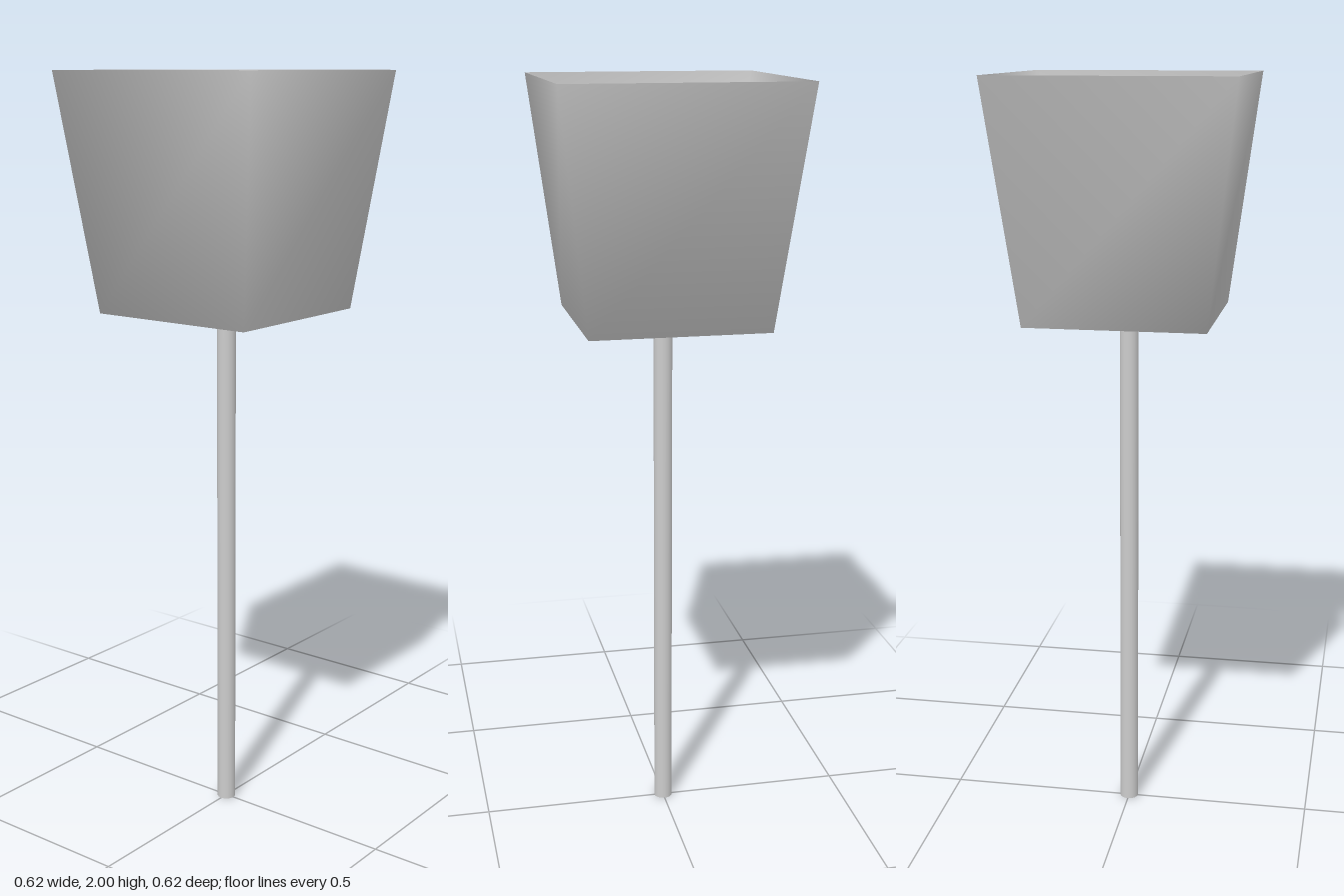
import * as THREE from 'three';
import { mergeVertices } from 'three/addons/utils/BufferGeometryUtils.js';

const POST_TOP = 1.39;
const TOP = 2;

// Open square bin, wider at the rim, with shared corners so the shading runs smoothly across its edges
function taperedBin(bottomHalf, topHalf, y0, y1) {
  const box = new THREE.BoxGeometry(2, 1, 2);
  const index = Array.from(box.index.array);
  index.splice(12, 6); // remove the top face
  box.setIndex(index);
  const p = box.attributes.position;
  for (let i = 0; i < p.count; i++) {
    const upper = p.getY(i) > 0;
    const half = upper ? topHalf : bottomHalf;
    p.setXYZ(i, p.getX(i) * half, upper ? y1 : y0, p.getZ(i) * half);
  }
  box.deleteAttribute('normal');
  box.deleteAttribute('uv');
  box.clearGroups();
  const geometry = mergeVertices(box);
  geometry.computeVertexNormals();
  return geometry;
}

export function createModel() {
  const model = new THREE.Group();
  model.name = 'postLamp';

  const grey = new THREE.MeshStandardMaterial({ color: 0xcccccc, side: THREE.DoubleSide });
  grey.name = 'light grey';

  // Slim round post
  const post = new THREE.Mesh(new THREE.CylinderGeometry(0.025, 0.025, POST_TOP, 16), grey);
  post.name = 'post';
  post.position.y = POST_TOP / 2;
  model.add(post);

  // Flared square head, open at the top
  const head = new THREE.Mesh(taperedBin(0.233, 0.308, POST_TOP, TOP), grey);
  head.name = 'head';
  model.add(head);

  return model;
}
